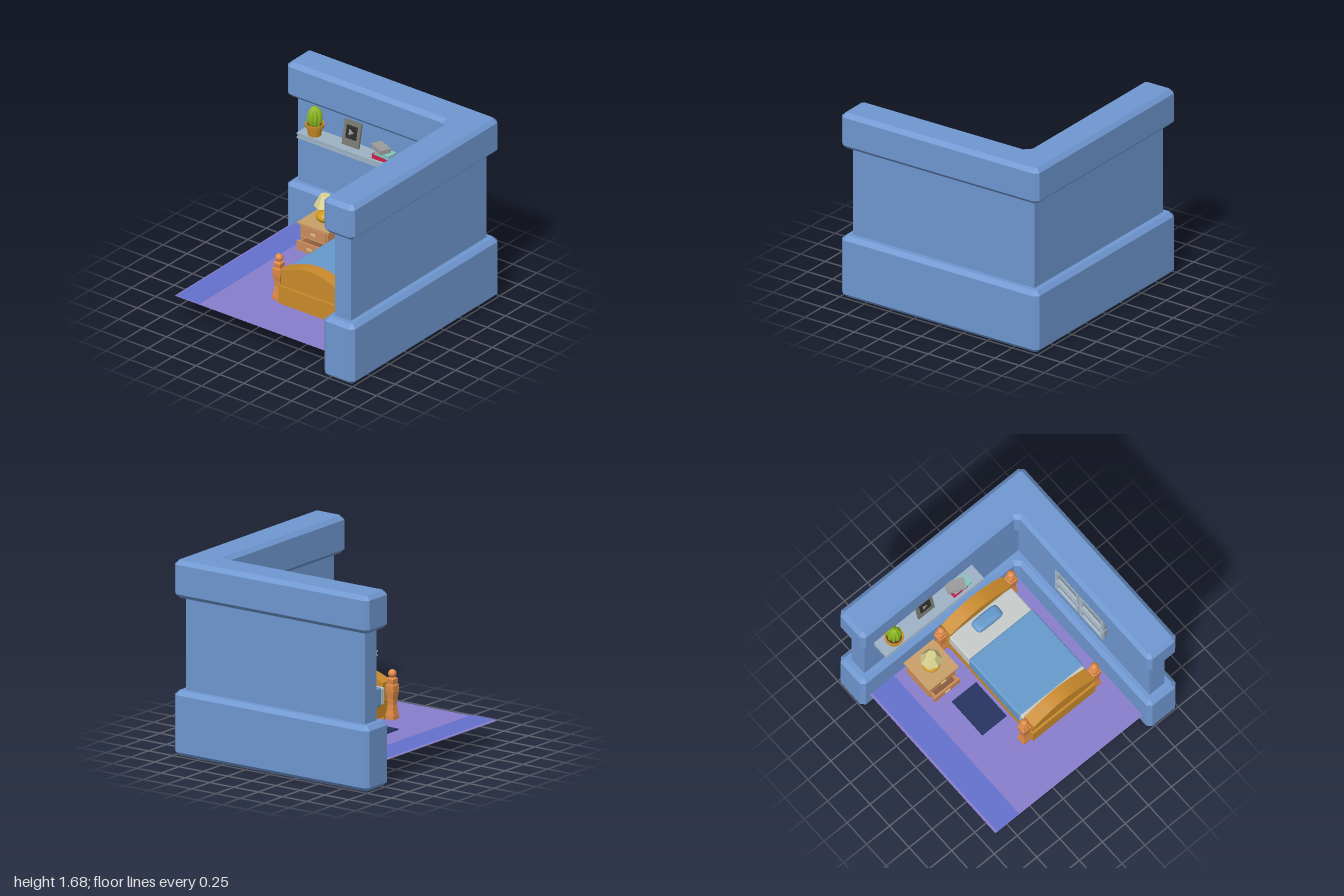
import * as THREE from 'three';
import { RoundedBoxGeometry } from 'three/addons/geometries/RoundedBoxGeometry.js';

const mat = (color, extra = {}) => {
  const m = new THREE.MeshStandardMaterial({ color, flatShading: true });
  return Object.assign(m, extra);
};
const M = {
  wall: mat(0x6f97d1), floor: mat(0x887dcc, { side: THREE.DoubleSide }),
  strip: mat(0x6270cc, { side: THREE.DoubleSide }), rug: mat(0x23315f),
  bed: mat(0xc98a2b), post: mat(0xdf8a48), sheet: mat(0xc6cccb), blanket: mat(0x6499cb),
  stand: mat(0xcc8c5c), standTop: mat(0xc9a067), handle: mat(0xd6bf80), inside: mat(0x8a5a3c),
  gold: mat(0xd09a20, { flatShading: false }), shade: mat(0xd8d090, { side: THREE.DoubleSide }),
  shelf: mat(0x9db2c4), pot: mat(0xc98a22, { side: THREE.DoubleSide }), soil: mat(0x5a4020),
  cactus: mat(0x8cb820, { flatShading: false }), frame: mat(0x77786f), dark: mat(0x2c2c2e),
  grey: mat(0x9a9a9a), red: mat(0xc81e48), teal: mat(0x86c2bd), window: mat(0xa9bac8), glass: mat(0x8c9aa6),
};

function add(parent, name, geo, material, x = 0, y = 0, z = 0) {
  const mesh = new THREE.Mesh(geo, material);
  mesh.name = name;
  mesh.position.set(x, y, z);
  parent.add(mesh);
  return mesh;
}
// Box given by its limits on each axis
function box(parent, name, material, x0, x1, y0, y1, z0, z1) {
  return add(parent, name, new THREE.BoxGeometry(x1 - x0, y1 - y0, z1 - z0), material,
    (x0 + x1) / 2, (y0 + y1) / 2, (z0 + z1) / 2);
}
function group(parent, name, x = 0, y = 0, z = 0) {
  const g = new THREE.Group();
  g.name = name;
  g.position.set(x, y, z);
  parent.add(g);
  return g;
}
const lathe = (pts, sides, start = 0) =>
  new THREE.LatheGeometry(pts.map(p => new THREE.Vector2(...p)), sides, start);

// L-shaped plan: outer reach o, inner faces at x = i and z = -i
const plan = (o, i) => [[-o, -o], [o, -o], [o, o], [i, o], [i, -i], [-o, -i]]
  .map(([x, z]) => new THREE.Vector2(x, -z));
function chamfer(pts, c) {
  return pts.flatMap((p, k) => [pts.at(k - 1), pts[(k + 1) % pts.length]]
    .map(q => p.clone().add(q.clone().sub(p).setLength(c))));
}
function upright(pts, y0, y1, bevel) {
  const geo = new THREE.ExtrudeGeometry(new THREE.Shape(pts), {
    depth: y1 - y0 - 2 * bevel, bevelEnabled: bevel > 0, bevelThickness: bevel,
    bevelSize: bevel, bevelOffset: -bevel, bevelSegments: 1,
  });
  return geo.translate(0, 0, y0 + bevel).rotateX(-Math.PI / 2);
}

function buildRoom(root) {
  const band = chamfer(plan(1, 0.682), 0.036);
  add(root, 'lowerWallBand', upright(band, 0, 0.56, 0.036), M.wall);
  add(root, 'upperWallBand', upright(band, 1.355, 1.68, 0.036), M.wall);
  add(root, 'wall', upright(plan(0.92, 0.755), 0.5, 1.4, 0), M.wall);
  const flat = (w, d) => new THREE.PlaneGeometry(w, d).rotateX(-Math.PI / 2);
  add(root, 'floor', flat(1.84, 1.84), M.floor, 0, 0.19, 0);
  add(root, 'floorStrip', flat(0.24, 1.72), M.strip, -0.78, 0.197, 0.06);
  box(root, 'rug', M.rug, -0.445, -0.18, 0.193, 0.203, -0.195, 0.195);
}

// Head or foot board: arched panel, raised moulding and lower panel
function buildBoard(bed, name, z) {
  const g = group(bed, name, 0, 0, z);
  const arch = drop => new THREE.SplineCurve([[-0.33, 0.505], [-0.2, 0.553], [-0.1, 0.582], [0, 0.592],
    [0.1, 0.582], [0.2, 0.553], [0.33, 0.505]].map(([x, y]) => new THREE.Vector2(x, y - drop))).getPoints(20);
  const slab = (pts, t) => new THREE.ExtrudeGeometry(new THREE.Shape(pts), { depth: t, bevelEnabled: false })
    .translate(0, 0, -t / 2);
  const base = [new THREE.Vector2(0.33, 0.3), new THREE.Vector2(-0.33, 0.3)];
  add(g, 'archPanel', slab([...arch(0.01), ...base], 0.085), M.bed);
  add(g, 'archMoulding', slab([...arch(0), ...arch(0.038).reverse()], 0.122), M.bed);
  box(g, 'lowerPanel', M.bed, -0.34, 0.34, 0.195, 0.36, -0.063, 0.063);
  const profile = [[0, 0.195], [0.041, 0.195], [0.041, 0.225], [0.033, 0.27], [0.028, 0.32], [0.031, 0.37],
    [0.04, 0.43], [0.041, 0.488], [0.031, 0.495], [0.035, 0.54], [0.02, 0.553], [0, 0.553]]
    .map(([r, y]) => [r * Math.SQRT2, y]);
  for (const s of [-1, 1]) {
    add(g, 'bedPost', lathe(profile, 4, Math.PI / 4), M.post, s * 0.381, 0, 0);
    add(g, 'postBall', new THREE.SphereGeometry(0.036, 16, 12), mat(0xdf8a48, { flatShading: false }), s * 0.381, 0.583, 0);
  }
}

function buildBed(root) {
  const bed = group(root, 'bed', 0.183, 0, 0);
  buildBoard(bed, 'headboard', -0.625);
  buildBoard(bed, 'footboard', 0.441);
  for (const s of [-1, 1]) box(bed, 'sideRail', M.bed, s * 0.325 - 0.015, s * 0.325 + 0.015, 0.22, 0.33, -0.58, 0.4);
  box(bed, 'bedBase', M.bed, -0.31, 0.31, 0.25, 0.3, -0.58, 0.4);
  add(bed, 'mattress', new RoundedBoxGeometry(0.68, 0.17, 0.97, 2, 0.015), M.sheet, 0, 0.385, -0.09);
  add(bed, 'blanket', new RoundedBoxGeometry(0.695, 0.165, 0.65, 2, 0.015), M.blanket, 0, 0.398, 0.015);
  // Pillow thins towards its edges
  const geo = new THREE.SphereGeometry(1, 24, 12);
  const p = geo.attributes.position;
  const square = v => Math.sign(v) * Math.abs(v) ** 0.4;
  for (let i = 0; i < p.count; i++) p.setXYZ(i, square(p.getX(i)) * 0.138, p.getY(i) * 0.035, square(p.getZ(i)) * 0.062);
  geo.computeVertexNormals();
  add(bed, 'pillow', geo, mat(0x6499cb, { flatShading: false }), 0, 0.485, -0.482);
}

function buildNightstand(root) {
  const g = group(root, 'nightstand', -0.428, 0, 0);
  box(g, 'tableTop', M.standTop, -0.163, 0.163, 0.45, 0.465, -0.64, -0.315);
  box(g, 'topTrim', M.stand, -0.15, 0.15, 0.435, 0.45, -0.63, -0.325);
  for (const s of [-1, 1]) {
    box(g, 'sidePanel', M.stand, s * 0.135 - 0.008, s * 0.135 + 0.008, 0.23, 0.435, -0.625, -0.335);
    for (const z of [-0.605, -0.355]) add(g, 'foot', new THREE.CylinderGeometry(0.02, 0.014, 0.035, 8), M.stand, s * 0.105, 0.213, z);
  }
  box(g, 'backPanel', M.stand, -0.13, 0.13, 0.23, 0.435, -0.625, -0.61);
  box(g, 'bottomPanel', M.stand, -0.13, 0.13, 0.228, 0.238, -0.62, -0.335);
  box(g, 'divider', M.standTop, -0.14, 0.14, 0.33, 0.343, -0.62, -0.33);
  // Upper drawer is shut, lower drawer stands open
  box(g, 'upperDrawer', M.stand, -0.127, 0.127, 0.345, 0.433, -0.6, -0.325);
  const d = group(g, 'lowerDrawer');
  box(d, 'drawerFront', M.stand, -0.14, 0.14, 0.23, 0.318, -0.29, -0.272);
  box(d, 'drawerFloor', M.inside, -0.12, 0.12, 0.24, 0.248, -0.55, -0.29);
  for (const s of [-1, 1]) box(d, 'drawerSide', M.stand, s * 0.118 - 0.007, s * 0.118 + 0.007, 0.24, 0.31, -0.55, -0.29);
  box(g, 'handle', M.handle, -0.025, 0.025, 0.38, 0.398, -0.325, -0.313);
  box(d, 'handle', M.handle, -0.025, 0.025, 0.264, 0.282, -0.272, -0.262);

  const lamp = group(g, 'lamp', 0, 0.465, -0.48);
  add(lamp, 'lampBase', lathe([[0, 0], [0.055, 0], [0.075, 0.02], [0.08, 0.04], [0.07, 0.06], [0.04, 0.075],
    [0.018, 0.085], [0.014, 0.11], [0.014, 0.16], [0, 0.16]], 20), M.gold);
  add(lamp, 'lampShade', lathe([[0.095, 0.138], [0.045, 0.235], [0, 0.235]], 7), M.shade);
}

function buildShelf(root) {
  box(root, 'shelf', M.shelf, -0.81, 0.245, 1.07, 1.1, -0.77, -0.602);
  box(root, 'shelfTop', M.shelf, -0.815, 0.248, 1.098, 1.11, -0.77, -0.597);
  box(root, 'shelfBottom', M.shelf, -0.815, 0.248, 1.06, 1.072, -0.77, -0.597);

  const plant = group(root, 'pottedCactus', -0.675, 1.11, -0.662);
  add(plant, 'pot', lathe([[0, 0], [0.055, 0], [0.068, 0.08], [0.08, 0.08], [0.082, 0.108], [0.068, 0.108], [0.064, 0.09]], 16), M.pot);
  add(plant, 'soil', new THREE.CylinderGeometry(0.066, 0.06, 0.01, 16), M.soil, 0, 0.09, 0);
  // Ribbed cactus body
  const geo = new THREE.SphereGeometry(1, 64, 16);
  const p = geo.attributes.position;
  for (let i = 0; i < p.count; i++) {
    const [x, y, z] = [p.getX(i), p.getY(i), p.getZ(i)];
    const rib = 0.046 + 0.02 * Math.abs(Math.cos(4 * Math.atan2(z, x)));
    p.setXYZ(i, x * rib, y * 0.1, z * rib);
  }
  geo.computeVertexNormals();
  add(plant, 'cactus', geo, M.cactus, 0, 0.163, 0);

  // Leaning picture frame
  const pic = group(root, 'pictureFrame', -0.313, 1.113, -0.668);
  pic.rotation.x = -0.2;
  box(pic, 'frameBoard', M.frame, -0.087, 0.087, 0, 0.22, -0.02, 0);
  box(pic, 'picturePanel', M.dark, -0.056, 0.056, 0.065, 0.182, -0.01, 0.003);
  const tri = new THREE.CircleGeometry(0.035, 3);
  add(pic, 'pictureTriangle', tri, M.grey, -0.008, 0.124, 0.005);

  // Stack of books: [cover, x, width, y, turn]
  const books = group(root, 'books', 0, 1.11, -0.675);
  [[M.red, 0.022, 0.155, 0, 0.03], [M.teal, 0.05, 0.165, 0.037, -0.08], [M.grey, 0.005, 0.165, 0.074, -0.4]]
    .forEach(([cover, x, w, y, turn]) => {
      const b = group(books, 'book', x, y, 0);
      b.rotation.y = turn;
      box(b, 'cover', cover, -w / 2, w / 2, 0, 0.007, -0.05, 0.05);
      box(b, 'cover', cover, -w / 2, w / 2, 0.03, 0.037, -0.05, 0.05);
      box(b, 'spine', cover, w / 2 - 0.01, w / 2, 0, 0.037, -0.05, 0.05);
      box(b, 'pages', cover, -w / 2 + 0.006, w / 2 - 0.01, 0.007, 0.03, -0.045, 0.045);
    });
}

// Window on the side wall: two columns of two framed panes
function buildWindow(root) {
  const w = group(root, 'window', 0.728, 0, 0.08);
  for (const s of [-1, 1]) for (const [y0, y1] of [[0.858, 1.035], [1.065, 1.29]]) {
    const [a, b] = s < 0 ? [-0.305, -0.008] : [0.008, 0.305];
    box(w, 'pane', M.glass, -0.005, 0.03, y0, y1, a, b);
    for (const y of [y0, y1 - 0.03]) box(w, 'paneRail', M.window, -0.026, 0.03, y, y + 0.03, a, b);
    for (const z of [a, b - 0.03]) box(w, 'paneStile', M.window, -0.026, 0.03, y0, y1, z, z + 0.03);
  }
  box(w, 'crossBar', M.window, -0.02, 0.03, 1.03, 1.07, -0.3, 0.3);
  box(w, 'middleBar', M.window, -0.02, 0.03, 0.865, 1.285, -0.012, 0.012);
}

export function createModel() {
  const root = new THREE.Group();
  root.name = 'bedroom';
  [buildRoom, buildBed, buildNightstand, buildShelf, buildWindow].forEach(build => build(root));
  return root;
}
